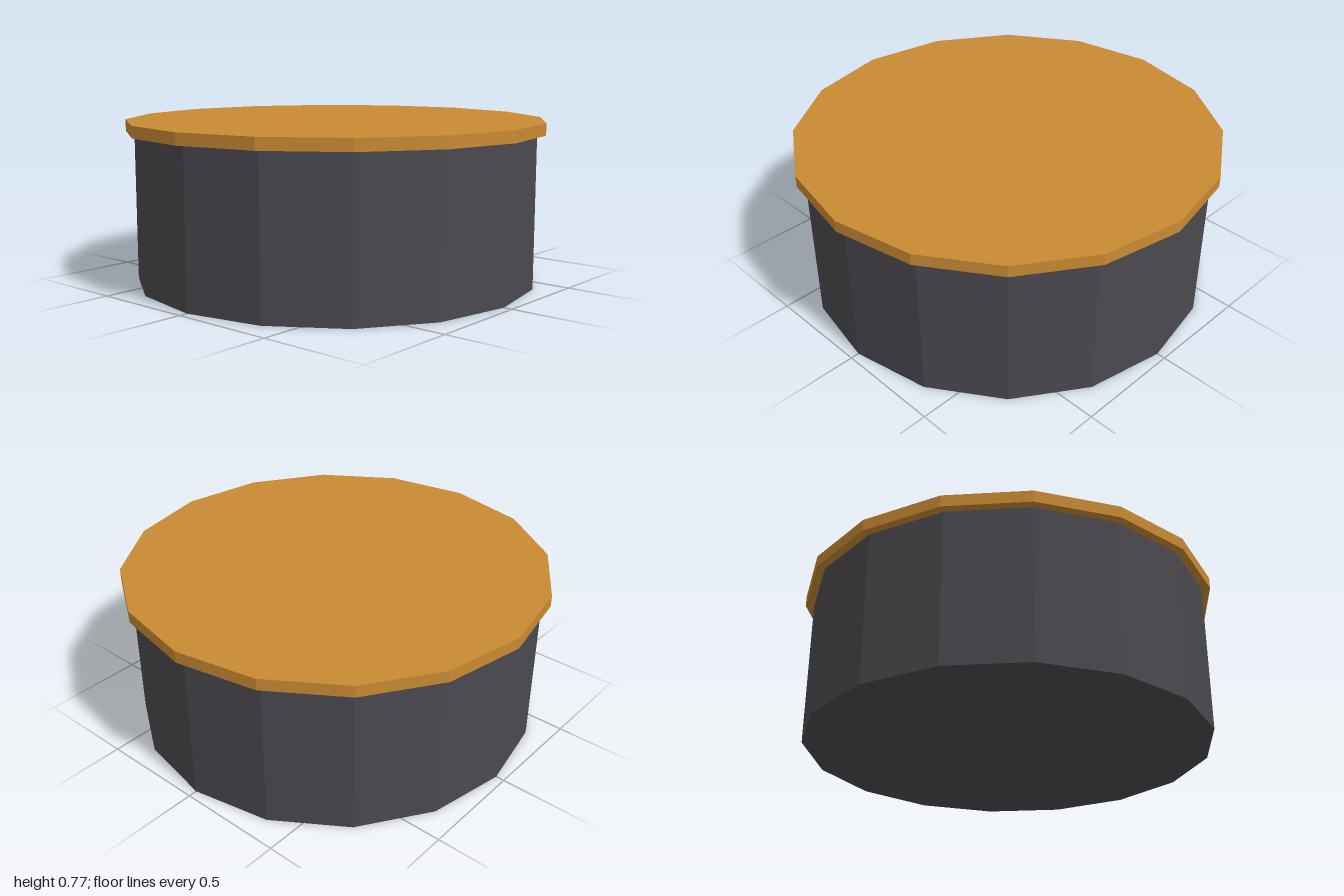
import * as THREE from 'three';

const SIDES = 16;

// Faceted drum standing between two heights
function drum(name, radius, bottom, top, color) {
  const height = top - bottom;
  const mesh = new THREE.Mesh(
    new THREE.CylinderGeometry(radius, radius, height, SIDES),
    new THREE.MeshStandardMaterial({ color, flatShading: true })
  );
  mesh.name = name;
  mesh.position.y = bottom + height / 2;
  return mesh;
}

export function createModel() {
  const group = new THREE.Group();
  group.name = 'roundTin';
  // The body ends inside the lid so their top faces do not overlap
  group.add(drum('body', 0.96, 0, 0.74, 0x4a4a4f));
  group.add(drum('lid', 1, 0.715, 0.77, 0xc98a33));
  return group;
}
